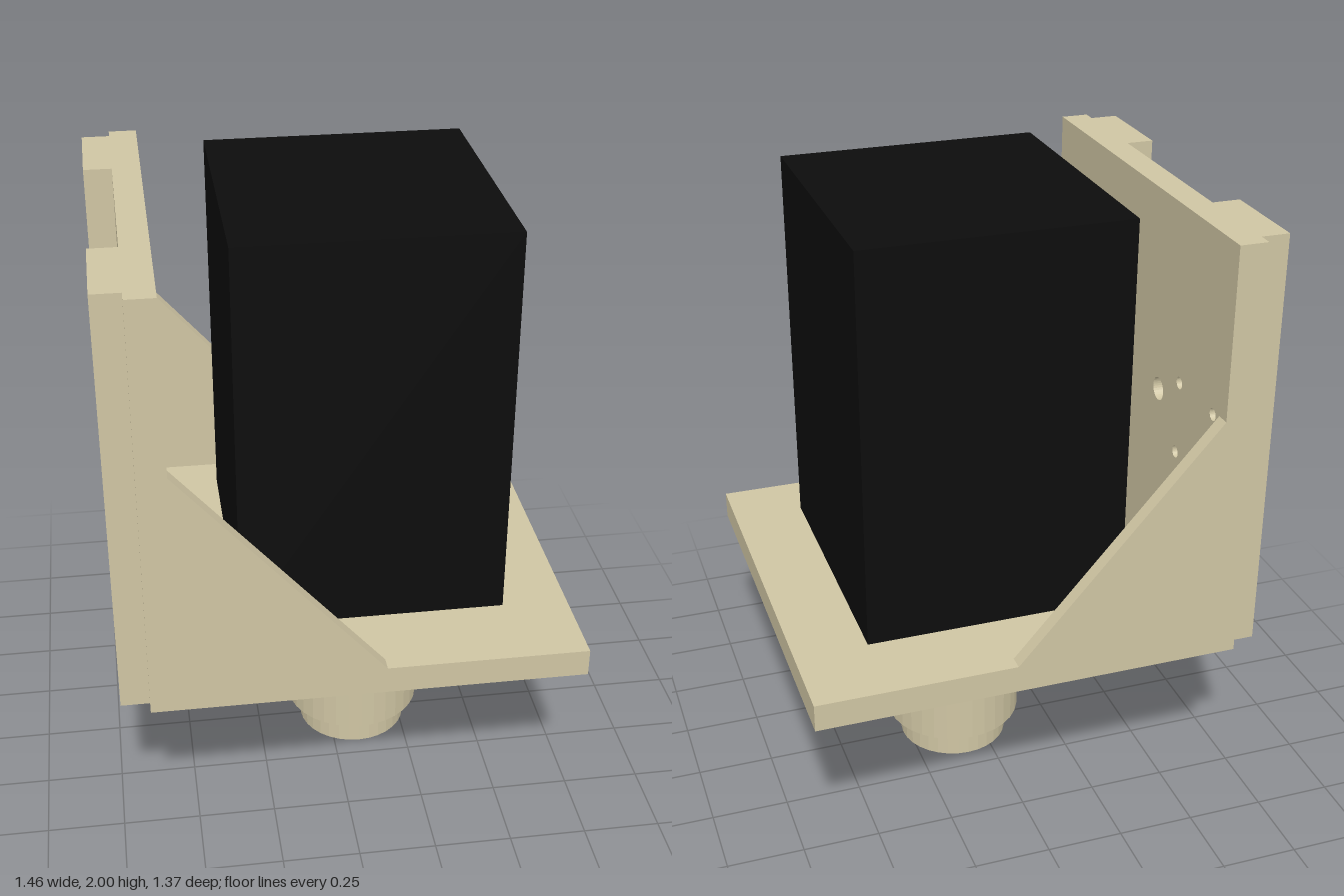
import * as THREE from 'three';

export function createModel() {
  const group = new THREE.Group();
  const tan = new THREE.MeshStandardMaterial({ color: 0xcfc5a3, flatShading: true });
  tan.name = 'tan';
  const black = new THREE.MeshStandardMaterial({ color: 0x0c0c0c });
  black.name = 'black';

  const add = (name, geometry, material, x = 0, y = 0, z = 0) => {
    const mesh = new THREE.Mesh(geometry, material);
    mesh.name = name;
    mesh.position.set(x, y, z);
    group.add(mesh);
    return mesh;
  };

  // Rectangle with round holes given as [x, y, radius]
  const panel = (x0, x1, y0, y1, holes) => {
    const shape = new THREE.Shape([[x0, y0], [x1, y0], [x1, y1], [x0, y1]].map(p => new THREE.Vector2(...p)));
    for (const [x, y, r] of holes) {
      shape.holes.push(new THREE.Path().absarc(x, y, r, 0, Math.PI * 2, true));
    }
    return shape;
  };
  const extrude = (shape, depth, curveSegments = 16) =>
    new THREE.ExtrudeGeometry(shape, { depth, bevelEnabled: false, curveSegments });

  const axisX = 0.087, r = 0.02;
  const screwHoles = side => [0.36, 0.597].flatMap(z => [1.165, 1.405].map(y => [side * z, y, r]));

  // Horizontal base with the shaft opening
  add('basePlate', extrude(panel(-0.55, 0.73, -0.687, 0.687, [[axisX, 0, 0.23]]), 0.09, 32), tan, 0, 0.69)
    .rotation.x = Math.PI / 2;

  // Upright plate, extruded toward -x
  const plateHoles = [...screwHoles(1), ...screwHoles(-1), [0.21, 1.32, 0.038], [-0.21, 1.32, 0.038]];
  add('uprightPlate', extrude(panel(-0.687, 0.687, 0.6, 1.97, plateHoles), 0.09), tan, -0.55)
    .rotation.y = -Math.PI / 2;

  for (const side of [1, -1]) {
    // Mounting rails behind the upright plate
    const [z0, z1] = side > 0 ? [0.323, 0.64] : [-0.64, -0.323];
    add('mountingRail', extrude(panel(z0, z1, 0.6, 1.97, screwHoles(side)), 0.09), tan, -0.64)
      .rotation.y = -Math.PI / 2;

    // Triangular side braces
    const brace = new THREE.Shape();
    brace.moveTo(-0.55, 0.69).lineTo(0.09, 0.69).lineTo(-0.55, 1.42).closePath();
    add('sideBrace', extrude(brace, 0.047), tan, 0, 0, side > 0 ? 0.64 : -0.687);
  }

  // Motor body and its low oval boss
  add('motorBody', new THREE.BoxGeometry(0.845, 1.28, 0.914), black, 0.083, 1.36, -0.01);
  add('motorBoss', new THREE.CylinderGeometry(1, 1, 0.035, 16), tan, axisX, 0.7075, 0)
    .scale.set(0.372, 1, 0.41);

  // Shaft and stepped coupling with an open bore
  add('shaft', new THREE.CylinderGeometry(0.087, 0.087, 0.16, 24), tan, axisX, 0.62, 0);
  const profile = [
    [0, 0.35], [0.133, 0.35], [0.133, 0], [0.184, 0], [0.184, 0.097], [0.228, 0.097],
    [0.228, 0.46], [0.184, 0.46], [0.184, 0.55], [0, 0.55],
  ].map(p => new THREE.Vector2(...p));
  add('coupling', new THREE.LatheGeometry(profile, 32), tan, axisX);

  return group;
}
